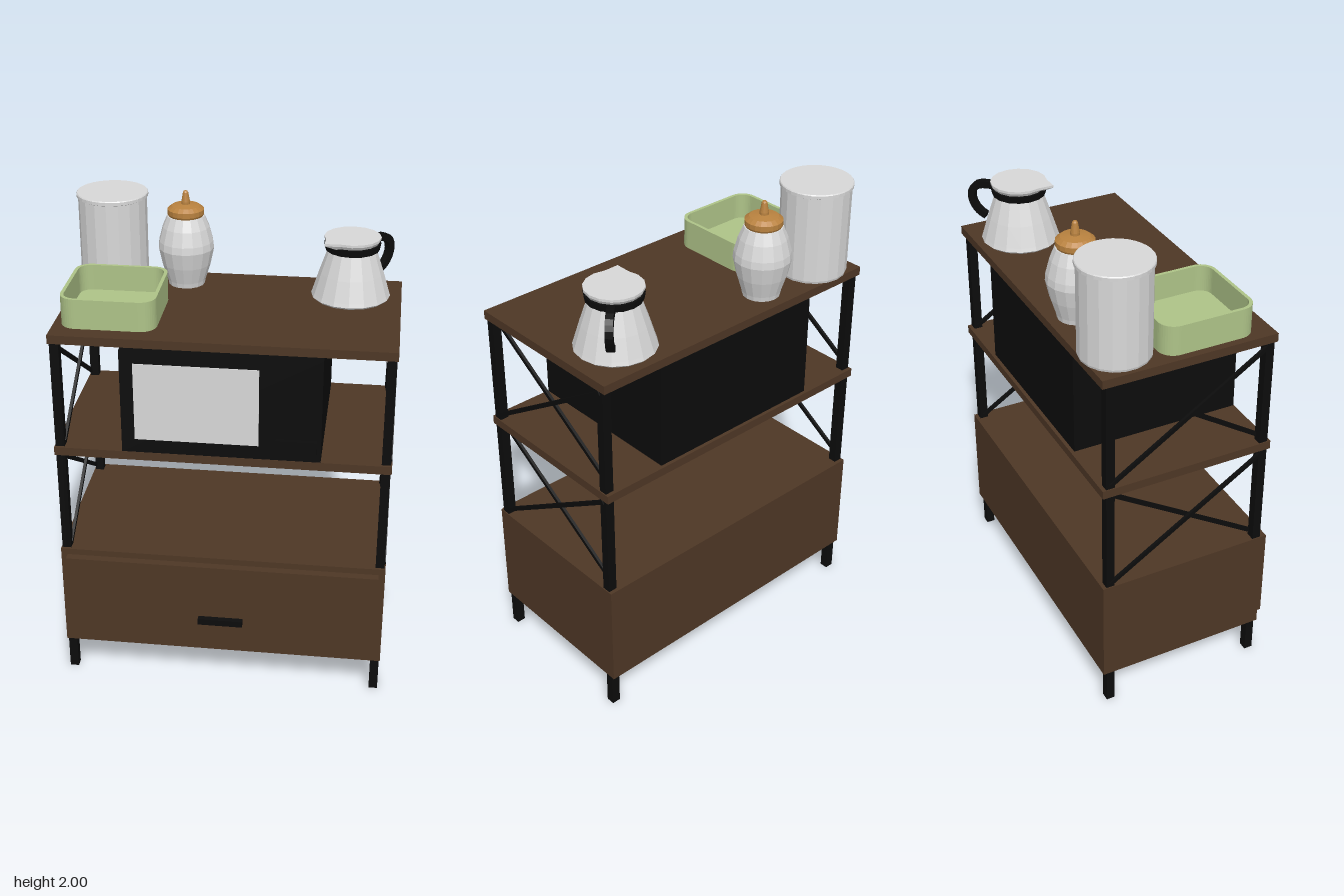
import * as THREE from 'three';

const material = (name, color) => {
  const m = new THREE.MeshStandardMaterial({ color });
  m.name = name;
  return m;
};

export function createModel() {
  const model = new THREE.Group();
  model.name = 'kitchenShelf';
  const wood = material('dark wood', 0x4e3725);
  const black = material('black', 0x0c0c0c);
  const white = material('white', 0xd8d8d8);
  const green = material('sage green', 0xaec388);
  const amber = material('amber wood', 0xb9823f);

  const add = (name, geometry, mat, parent = model) => {
    const mesh = new THREE.Mesh(geometry, mat);
    mesh.name = name;
    parent.add(mesh);
    return mesh;
  };
  // Box given by its limits on each axis
  const box = (name, mat, [x0, x1], [y0, y1], [z0, z1], parent) => {
    const mesh = add(name, new THREE.BoxGeometry(x1 - x0, y1 - y0, z1 - z0), mat, parent);
    mesh.position.set((x0 + x1) / 2, (y0 + y1) / 2, (z0 + z1) / 2);
    return mesh;
  };
  // Faceted turned form; optional rule moves its vertices
  const turned = (name, mat, profile, sides, parent, rule) => {
    let g = new THREE.LatheGeometry(profile.map(p => new THREE.Vector2(...p)), sides);
    if (rule) {
      const p = g.attributes.position, v = new THREE.Vector3();
      for (let i = 0; i < p.count; i++) {
        rule(v.fromBufferAttribute(p, i));
        p.setXYZ(i, v.x, v.y, v.z);
      }
    }
    g = g.toNonIndexed();
    g.computeVertexNormals();
    return add(name, g, mat, parent);
  };
  const group = (name, x, y, z) => {
    const g = new THREE.Group();
    g.name = name;
    g.position.set(x, y, z);
    model.add(g);
    return g;
  };

  // Shelves and drawer cabinet
  const width = [-0.682, 0.682], depth = [-0.39, 0.346];
  box('topShelf', wood, width, [1.564, 1.6], depth);
  box('middleShelf', wood, width, [1.07, 1.106], depth);
  box('cabinet', wood, width, [0.154, 0.62], depth);
  box('drawerFront', wood, [-0.655, 0.655], [0.18, 0.593], [0.346, 0.38]);
  box('drawerHandle', black, [-0.094, 0.094], [0.32, 0.347], [0.38, 0.405]);

  // Posts and crossed side braces
  const zBack = -0.356, zFront = 0.316;
  for (const side of [-1, 1]) {
    const x = side * 0.659;
    for (const z of [zBack, zFront]) {
      box('post', black, [x - 0.0185, x + 0.0185], [0, 1.565], [z - 0.018, z + 0.018]);
    }
    for (const [low, high] of [[0.635, 1.06], [1.12, 1.555]]) {
      for (const lean of [-1, 1]) {
        const run = zFront - zBack, rise = high - low;
        const brace = add('sideBrace', new THREE.BoxGeometry(0.012, 0.017, Math.hypot(run, rise)), black);
        brace.position.set(x + lean * 0.0165, (low + high) / 2, (zBack + zFront) / 2);
        brace.rotation.x = lean * Math.atan2(rise, run);
      }
    }
  }

  // Microwave
  box('microwaveBody', black, [-0.401, 0.399], [1.106, 1.55], [-0.375, 0.344]);
  box('microwaveWindow', white, [-0.347, 0.151], [1.166, 1.497], [0.343, 0.348]);
  box('microwaveButton', black, [0.22, 0.383], [1.137, 1.2], [0.344, 0.358]);

  // Tall canister with an overhanging lid
  const canister = group('canister', -0.527, 1.6, -0.262);
  turned('canisterBody', white, [[0, 0], [0.139, 0], [0.142, 0.01], [0.142, 0.375]], 18, canister);
  turned('canisterLid', white, [[0.14, 0.37], [0.148, 0.374], [0.148, 0.387], [0.145, 0.391], [0, 0.391]], 32, canister);

  // Sugar jar with wooden lid
  const jar = group('sugarJar', -0.223, 1.6, -0.273);
  turned('jarBody', white, [[0, 0], [0.076, 0], [0.08, 0.02], [0.102, 0.09], [0.117, 0.16],
    [0.114, 0.19], [0.098, 0.25], [0.078, 0.297], [0, 0.297]], 16, jar);
  turned('jarLid', amber, [[0, 0.297], [0.072, 0.297], [0.076, 0.305], [0.076, 0.325], [0.058, 0.339],
    [0.018, 0.345], [0.018, 0.355], [0.011, 0.394], [0.007, 0.4], [0, 0.4]], 20, jar);

  // Milk jug: one rim corner is pulled out into a spout
  const jug = group('milkJug', 0.472, 1.6, -0.203);
  const spout = new THREE.Vector3(-1, 0, 1).normalize();
  turned('jugBody', white, [[0, 0], [0.152, 0], [0.163, 0.01], [0.158, 0.025], [0.132, 0.11], [0.1, 0.205],
    [0.1, 0.225], [0.116, 0.25], [0.116, 0.26], [0, 0.26]], 16, jug, v => {
    const r = Math.hypot(v.x, v.z);
    if (v.y > 0.24 && r > 0.05 && v.dot(spout) / r > 0.99) v.addScaledVector(spout, 0.037);
  });
  turned('jugBand', black, [[0.1, 0.205], [0.111, 0.207], [0.116, 0.236], [0.1, 0.238]], 16, jug);

  // Jug handle: a flat strap following a loop, opposite the spout
  const strap = new THREE.Shape();
  strap.moveTo(0.1, 0.236);
  strap.bezierCurveTo(0.185, 0.25, 0.225, 0.225, 0.226, 0.165);
  strap.bezierCurveTo(0.222, 0.12, 0.195, 0.085, 0.155, 0.07);
  strap.lineTo(0.146, 0.094);
  strap.bezierCurveTo(0.18, 0.11, 0.196, 0.135, 0.198, 0.165);
  strap.bezierCurveTo(0.197, 0.2, 0.17, 0.217, 0.1, 0.208);
  const handleShape = new THREE.ExtrudeGeometry(strap, { depth: 0.03, bevelEnabled: false, curveSegments: 6 });
  handleShape.translate(0, 0, -0.015);
  add('jugHandle', handleShape, black, jug).rotation.y = Math.PI / 4;

  // Open tray with rounded corners
  const rounded = (path, w, d, r) => {
    const x = w / 2, y = d / 2;
    path.absarc(x - r, y - r, r, 0, Math.PI / 2);
    path.absarc(r - x, y - r, r, Math.PI / 2, Math.PI);
    path.absarc(r - x, r - y, r, Math.PI, Math.PI * 1.5);
    path.absarc(x - r, r - y, r, Math.PI * 1.5, Math.PI * 2);
    path.closePath();
    return path;
  };
  const tray = group('tray', -0.46, 1.6, 0.076);
  const raise = (shape, height) => new THREE.ExtrudeGeometry(shape,
    { depth: height, bevelEnabled: false, curveSegments: 5 }).rotateX(-Math.PI / 2);
  const wall = rounded(new THREE.Shape(), 0.383, 0.392, 0.065);
  wall.holes.push(rounded(new THREE.Path(), 0.355, 0.364, 0.051));
  add('trayWall', raise(wall, 0.123), green, tray);
  add('trayFloor', raise(rounded(new THREE.Shape(), 0.36, 0.37, 0.054), 0.015), green, tray);

  return model;
}
